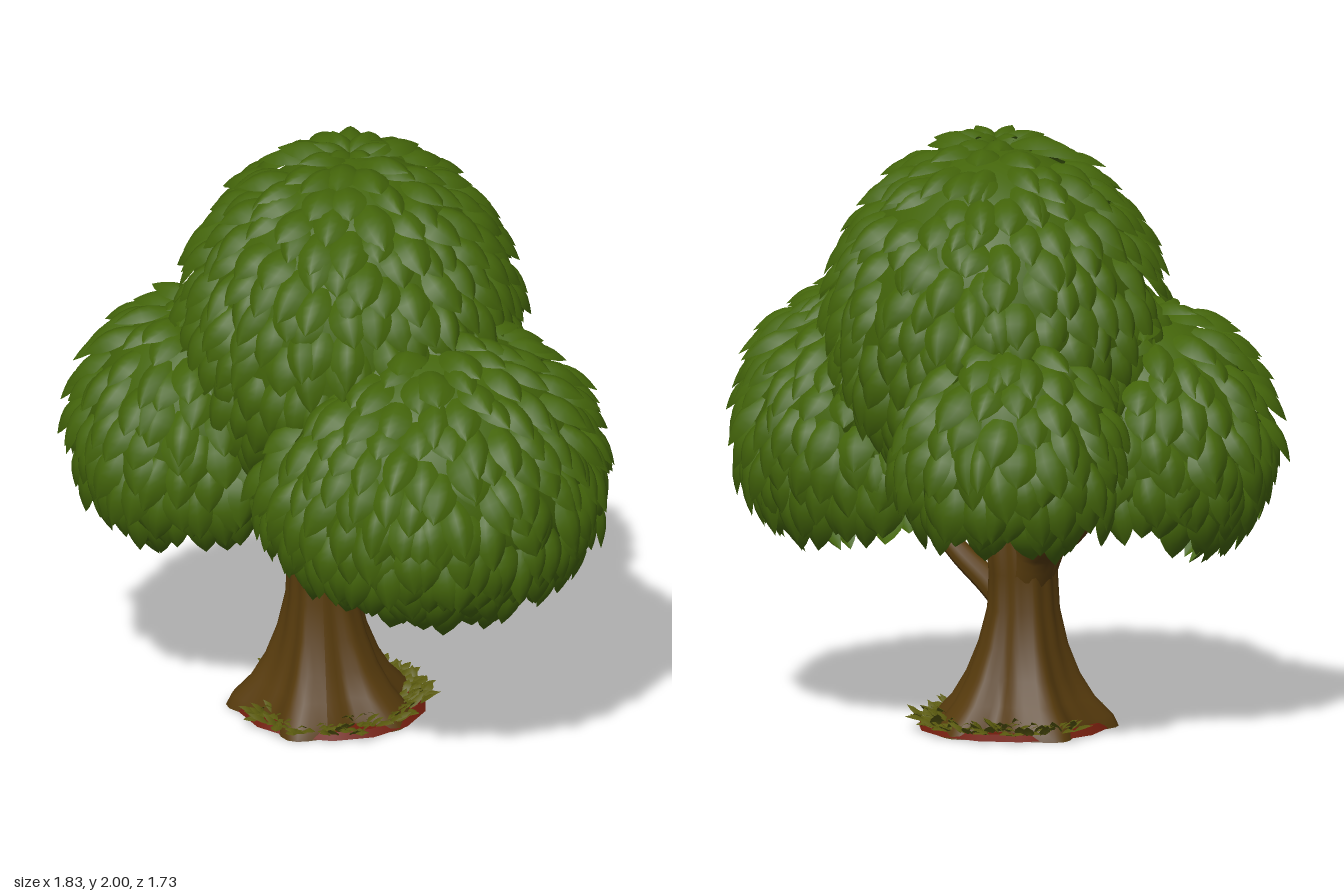
import * as THREE from 'three';
import { mergeGeometries } from 'three/addons/utils/BufferGeometryUtils.js';

const mat = (name, color, side = THREE.FrontSide) => {
  const m = new THREE.MeshStandardMaterial({ color, side });
  m.name = name;
  return m;
};

// Small seeded generator, returning values in -1..1
let seed = 7;
const rnd = () => {
  seed = (seed * 16807) % 2147483647;
  return (seed / 2147483647) * 2 - 1;
};

// Leaf clumps: centre, radius, upper and lower height, rim angle,
// and how far the rim drops towards the compass angle "away"
const clumps = [
  { name: 'crown', c: [0.03, 1.31, -0.08], r: 0.52, up: 0.64, low: 0.5, end: 2.25, tilt: 0, away: 0 },
  { name: 'frontClump', c: [0.285, 0.94, 0.245], r: 0.535, up: 0.53, low: 0.38, end: 2.1, tilt: 0.36, away: 0.6 },
  { name: 'sideClump', c: [-0.46, 0.94, -0.15], r: 0.38, up: 0.46, low: 0.3, end: 2.15, tilt: 0.3, away: -1.4 },
  { name: 'backClump', c: [0.01, 0.97, -0.44], r: 0.35, up: 0.45, low: 0.27, end: 2.0, tilt: 0.25, away: Math.PI },
];

const rimAngle = (k, ph) => k.end + k.tilt * Math.cos(ph - k.away);

const pointOn = (k, th, ph, s = 1) => {
  const y = Math.cos(th), r = k.r * Math.sin(th) * s;
  return new THREE.Vector3(
    k.c[0] + r * Math.sin(ph),
    k.c[1] + y * (y > 0 ? k.up : k.low) * s,
    k.c[2] + r * Math.cos(ph));
};

const hidden = (p, self, scale) => clumps.some((k) => {
  if (k === self) return false;
  const dy = p.y - k.c[1];
  const h = dy > 0 ? k.up : k.low;
  return Math.hypot((p.x - k.c[0]) / k.r, dy / h, (p.z - k.c[2]) / k.r) < scale;
});

// Unit leaf: base at the origin, pointed tip at y = 1, domed towards +z
function leafShape(cols, rows) {
  const g = new THREE.PlaneGeometry(2, 1, cols, rows);
  const p = g.attributes.position;
  for (let i = 0; i < p.count; i++) {
    const u = p.getX(i), t = p.getY(i) + 0.5;
    const w = 0.5 * Math.pow(Math.max(0, Math.sin(Math.PI * (0.14 + 0.86 * t))), 0.85);
    p.setXYZ(i, u * w, t, 0.2 * (1 - u * u) * Math.sin(Math.PI * (0.1 + 0.9 * t)));
  }
  g.computeVertexNormals();
  return g;
}

// Matrix placing a leaf at p, pointing along dir, facing out
function leafMatrix(p, dir, out, width, length) {
  const y = dir.clone().normalize();
  const x = new THREE.Vector3().crossVectors(y, out).normalize();
  const z = new THREE.Vector3().crossVectors(x, y);
  return new THREE.Matrix4().makeBasis(x, y, z).setPosition(p)
    .scale(new THREE.Vector3(width, length, length * 0.9));
}

// Overlapping rows of leaves running down a clump
function leafMatrices(k) {
  const list = [];
  const step = 0.082 / ((k.r + k.up) / 2);
  let row = 0;
  for (let th = 0.08; th < k.end + k.tilt; th += step, row++) {
    const n = Math.max(6, Math.round((2 * Math.PI * k.r * Math.sin(th)) / 0.088));
    for (let i = 0; i < n; i++) {
      const ph = ((i + (row % 2) / 2 + rnd() * 0.28) / n) * Math.PI * 2;
      const a = Math.max(0.03, th + rnd() * step * 0.45);
      const p = pointOn(k, a, ph);
      if (a > rimAngle(k, ph) || hidden(p, k, 0.95)) continue;
      const h = Math.cos(a) > 0 ? k.up : k.low;
      const out = new THREE.Vector3((p.x - k.c[0]) / k.r ** 2, (p.y - k.c[1]) / h ** 2, (p.z - k.c[2]) / k.r ** 2).normalize();
      const dir = pointOn(k, a + 0.05, ph).sub(pointOn(k, a - 0.02, ph)).normalize();
      dir.addScaledVector(out, 0.12 + 0.2 * Math.min(1, a) + rnd() * 0.1);
      if (a > 1.4) dir.y -= 0.4;
      const side = new THREE.Vector3().crossVectors(dir, out);
      dir.addScaledVector(side, rnd() * 0.25);
      list.push(leafMatrix(p, dir, out, 0.118 + rnd() * 0.018, 0.175 + rnd() * 0.025));
    }
  }
  // Small upturned tuft on the very top
  if (k.name === 'crown') {
    for (let i = 0; i < 6; i++) {
      const a = (i / 6) * Math.PI * 2 + 0.5;
      list.push(leafMatrix(new THREE.Vector3(k.c[0], 1.95, k.c[2]),
        new THREE.Vector3(Math.sin(a), 0.38, Math.cos(a)), new THREE.Vector3(0, 1, 0), 0.08, 0.13));
    }
  }
  return list;
}

// Hollow shell under the leaves, left out where clumps overlap
function shell(k) {
  const g = new THREE.SphereGeometry(1, 40, 24);
  const p = g.attributes.position, uv = g.attributes.uv, v = new THREE.Vector3();
  for (let i = 0; i < p.count; i++) {
    const ph = Math.atan2(p.getX(i), p.getZ(i));
    v.copy(pointOn(k, (1 - uv.getY(i)) * rimAngle(k, ph), ph, 0.985));
    p.setXYZ(i, v.x, v.y, v.z);
  }
  const keep = [], idx = g.index.array;
  for (let i = 0; i < idx.length; i += 3) {
    const tri = [idx[i], idx[i + 1], idx[i + 2]];
    if (!tri.every((j) => hidden(v.fromBufferAttribute(p, j), k, 0.93))) keep.push(...tri);
  }
  g.setIndex(keep);
  g.computeVertexNormals();
  return g;
}

// Branch tapering from radius a to b along a path
function limb(points, a, b) {
  const segs = 14, sides = 12;
  const curve = new THREE.CatmullRomCurve3(points.map((q) => new THREE.Vector3(...q)));
  const g = new THREE.TubeGeometry(curve, segs, 1, sides, false);
  const p = g.attributes.position, v = new THREE.Vector3();
  for (let i = 0; i < p.count; i++) {
    const t = Math.floor(i / (sides + 1)) / segs;
    const c = curve.getPointAt(t);
    v.fromBufferAttribute(p, i).sub(c).multiplyScalar(a + (b - a) * t).add(c);
    p.setXYZ(i, v.x, v.y, v.z);
  }
  g.computeVertexNormals();
  return g;
}

// Trunk with fluted sides flaring into roots
function trunkGeometry() {
  const prof = [[0, 0.285], [0.04, 0.27], [0.1, 0.22], [0.18, 0.178], [0.28, 0.143], [0.4, 0.117], [0.52, 0.111], [0.62, 0.118], [0.69, 0.095]];
  const g = new THREE.LatheGeometry(prof.map(([y, r]) => new THREE.Vector2(r, y)), 60);
  const p = g.attributes.position;
  for (let i = 0; i < p.count; i++) {
    const y = p.getY(i), a = Math.atan2(p.getX(i), p.getZ(i));
    const flare = Math.max(0, 1 - y / 0.4);
    const s = 1 + (0.03 + 0.11 * flare) * Math.cos(5 * a + 1.57 + y) + 0.03 * Math.sin(11 * a + 3 * y);
    p.setXYZ(i, p.getX(i) * s - 0.06 + 0.015 * flare, y, p.getZ(i) * s - 0.05);
  }
  g.computeVertexNormals();
  return g;
}

export function createModel() {
  seed = 7;
  const tree = new THREE.Group();
  tree.name = 'tree';
  const leafMat = mat('leafGreen', 0x43640a, THREE.DoubleSide);
  const barkMat = mat('bark', 0x573b0d, THREE.DoubleSide);
  const grassMat = mat('grass', 0x5a5a0e, THREE.DoubleSide);
  const soilMat = mat('soil', 0x6e1c0c);
  const mossMat = mat('moss', 0x2f5a1a);
  const add = (name, geo, m, parent = tree) => {
    const mesh = new THREE.Mesh(geo, m);
    mesh.name = name;
    parent.add(mesh);
  };

  // Foliage: leaves over hollow shells
  const leaf = leafShape(4, 6);
  for (const k of clumps) {
    const group = new THREE.Group();
    group.name = k.name;
    tree.add(group);
    add('leaves', mergeGeometries(leafMatrices(k).map((m) => leaf.clone().applyMatrix4(m))), leafMat, group);
    add('shell', shell(k), leafMat, group);
  }

  // Trunk and branches
  add('trunk', trunkGeometry(), barkMat);
  add('backBranch', limb([[-0.06, 0.48, -0.06], [-0.1, 0.62, -0.12], [-0.19, 0.71, -0.28], [-0.3, 0.88, -0.42]], 0.095, 0.05), barkMat);
  add('frontBranch', limb([[-0.04, 0.38, -0.04], [0.04, 0.465, 0.06], [0.14, 0.56, 0.16], [0.27, 0.74, 0.28]], 0.05, 0.027), barkMat);
  add('sideBranch', limb([[-0.08, 0.5, -0.05], [-0.15, 0.64, -0.06], [-0.24, 0.75, -0.08], [-0.36, 0.88, -0.1]], 0.085, 0.035), barkMat);
  add('upperStub', limb([[-0.05, 0.52, -0.05], [-0.03, 0.64, -0.01], [0.03, 0.76, 0.06]], 0.1, 0.06), barkMat);

  // Ground patch with a mossy spot beneath
  const patch = new THREE.CylinderGeometry(0.29, 0.315, 0.02, 14);
  patch.translate(-0.03, 0.014, -0.05);
  add('soilPatch', patch, soilMat);
  const moss = new THREE.CircleGeometry(0.08, 5);
  moss.scale(1, 0.6, 1).rotateX(Math.PI / 2).rotateY(-0.8).translate(-0.17, 0.001, -0.11);
  add('mossSpot', moss, mossMat);

  // Grass blades lying around the roots
  const blade = leafShape(2, 3), blades = [];
  for (let i = 0; i < 230; i++) {
    const a = -1.1 + ((i + rnd() * 0.5) / 230) * 5.0;
    const r = 0.26 + rnd() * 0.055;
    const b = a + rnd() * 1.3;
    const out = new THREE.Vector3(Math.sin(b), 0, Math.cos(b));
    const dir = out.clone().setY(0.55 + 0.5 * rnd());
    const at = new THREE.Vector3(-0.03 + r * Math.sin(a), 0.024, -0.05 + r * Math.cos(a));
    const lean = out.clone().multiplyScalar(-0.4).setY(1);
    blades.push(blade.clone().applyMatrix4(leafMatrix(at, dir, lean, 0.04, 0.06 + 0.015 * rnd())));
  }
  add('grassBlades', mergeGeometries(blades), grassMat);
  return tree;
}
